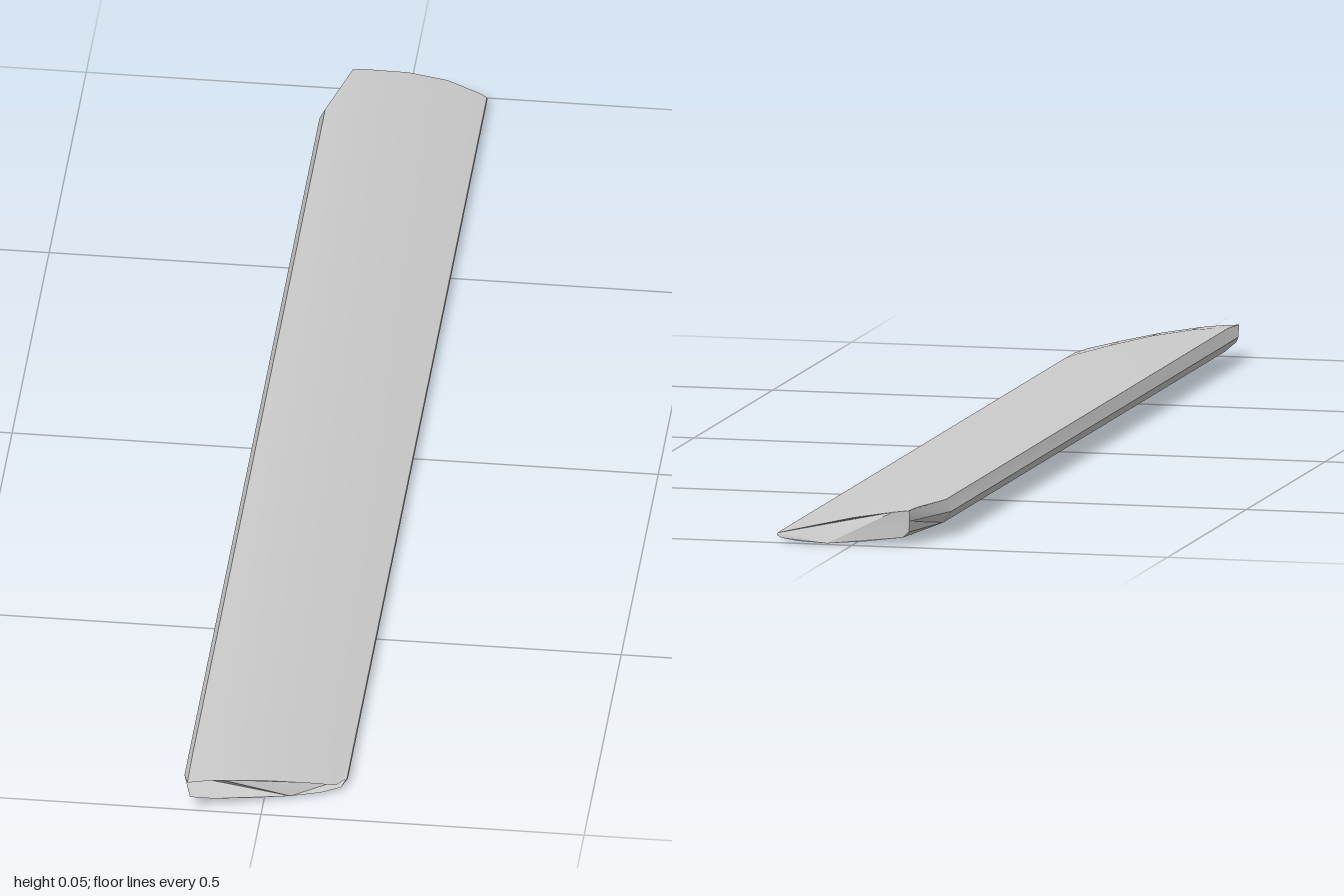
import * as THREE from 'three';
import { toCreasedNormals } from 'three/addons/utils/BufferGeometryUtils.js';

// Slat cross-section (x, y), counter-clockwise seen from the front
const PROFILE = [
  [-0.123, 0.037], [-0.11, 0.019], [-0.075, 0.01], [-0.02, 0.004], [0.04, 0], [0.085, 0.002],
  [0.115, 0.005], [0.123, 0.009], [0.122, 0.013], [0.108, 0.017], [0.06, 0.03], [0, 0.044],
  [-0.06, 0.053], [-0.09, 0.055], [-0.114, 0.055],
];
// End outlines in plan (x, z)
const FRONT = [[-0.123, 0.96], [-0.114, 1], [0.108, 0.93], [0.116, 0.92], [0.123, 0.9]];
const BACK = [[-0.085, -0.975], [-0.03, -0.99], [0.05, -1], [0.09, -0.995], [0.123, -0.983]];

// Piecewise linear lookup in an outline
function along(table, x) {
  for (let i = 1; i < table.length; i++) {
    const [x0, z0] = table[i - 1], [x1, z1] = table[i];
    if (x <= x1) return THREE.MathUtils.lerp(z0, z1, Math.max(0, (x - x0) / (x1 - x0)));
  }
  return table[table.length - 1][1];
}

// Flatten a profile height towards the chord between both long edges
const squash = (x, y, k) => THREE.MathUtils.lerp(y, 0.0235 - x * 0.11, k);

function slatGeometry() {
  const n = PROFILE.length;
  // Rings from back to front: cut end, full body, cut end
  const rings = [
    ([x, y]) => {
      const cx = Math.max(x, -0.085 + (x + 0.123) * 0.05);
      return [cx, squash(x, y, 0.08), along(BACK, cx)];
    },
    ([x, y]) => [x, y, x < -0.1 ? -0.86 : -0.95],
    ([x, y]) => [x, y, along(FRONT, x) - 0.07],
    ([x, y]) => [x, squash(x, y, 0.25), along(FRONT, x)],
  ].map((place) => PROFILE.map(place));

  const pos = rings.flat(2), index = [];
  for (let r = 0; r < rings.length - 1; r++) {
    for (let i = 0; i < n; i++) {
      const a = r * n + i, b = r * n + (i + 1) % n;
      index.push(a, b, b + n, a, b + n, a + n);
    }
  }
  // End caps, bridged between the lower and upper edges
  const cap = (r, front) => {
    const outline = rings[r].map(([x, y]) => new THREE.Vector2(x, y));
    for (const [a, b, c] of THREE.ShapeUtils.triangulateShape(outline, [])) {
      const t = [a, b, c].map((v) => r * n + v);
      index.push(...(front ? t : t.reverse()));
    }
  };
  cap(0, false);
  cap(rings.length - 1, true);

  const geometry = new THREE.BufferGeometry();
  geometry.setAttribute('position', new THREE.Float32BufferAttribute(pos, 3));
  geometry.setIndex(index);
  return toCreasedNormals(geometry, THREE.MathUtils.degToRad(28));
}

export function createModel() {
  const group = new THREE.Group();
  group.name = 'plank';
  const slat = new THREE.Mesh(slatGeometry(), new THREE.MeshStandardMaterial({ color: 0xcccccc }));
  slat.name = 'slat';
  group.add(slat);
  return group;
}
